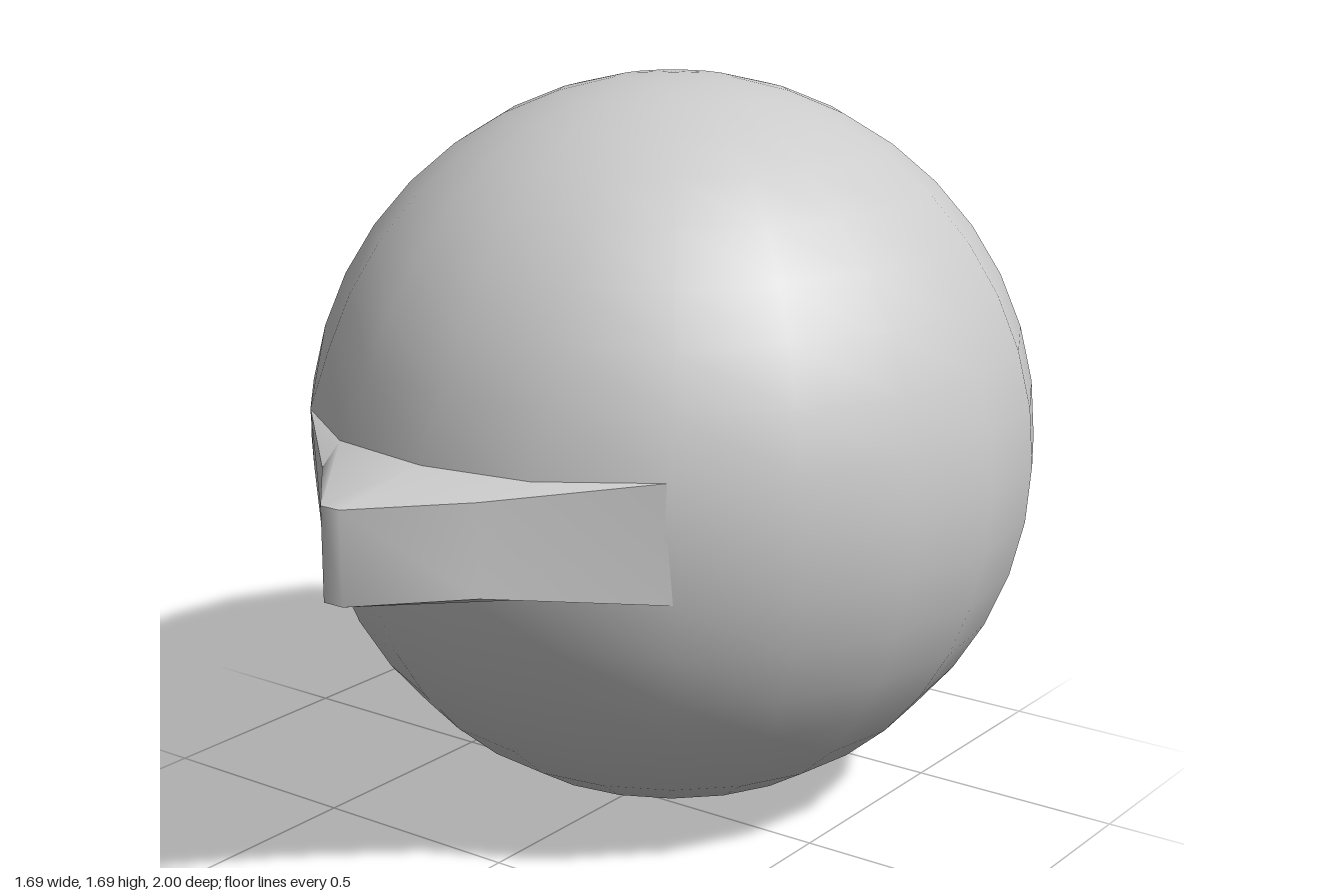
import * as THREE from 'three';
import { toCreasedNormals } from 'three/addons/utils/BufferGeometryUtils.js';

const R = 0.845;
const CENTRE = new THREE.Vector3(0, R, -0.155);
const TOP = R * (1 + Math.sin(Math.PI / 20));
const BOTTOM = R * (1 - Math.sin(Math.PI / 20));

// Ball whose ring of vertices just above the beak is pulled forward a little
function ballGeometry() {
  const geo = new THREE.SphereGeometry(R, 20, 20);
  geo.translate(CENTRE.x, CENTRE.y, CENTRE.z);
  const p = geo.attributes.position;
  for (let i = 0; i < p.count; i++) {
    if (Math.abs(p.getY(i) - TOP) > 0.01 || p.getZ(i) < 0.5) continue;
    p.setZ(i, p.getZ(i) + (Math.abs(p.getX(i)) < 0.4 ? 0.055 : 0.02));
  }
  return geo;
}

// Beak as columns from one side to the other, each a section from the
// upper root, out to the edge, down, and back to the lower root
function beakGeometry() {
  const columns = [
    // root x, upper root z, lower root z, edge x, edge z, upper y, lower y
    [-0.49, 0.54, 0.52, -0.49, 0.54, TOP, BOTTOM],
    [-0.26, 0.69, 0.635, -0.21, 0.80, 0.95, 0.748],
    [0, 0.73, 0.675, -0.025, 1, 0.95, 0.748],
    [0, 0.73, 0.675, 0.025, 1, 0.95, 0.748],
    [0.26, 0.69, 0.635, 0.21, 0.80, 0.95, 0.748],
    [0.49, 0.54, 0.52, 0.49, 0.54, TOP, BOTTOM],
  ];
  const positions = [];
  const index = [];
  columns.forEach(([rx, upZ, lowZ, ex, ez, upY, lowY], c) => {
    const lowEdgeZ = c % 5 === 0 ? lowZ : ez;
    positions.push(rx, TOP, upZ, ex, upY, ez, ex, lowY, lowEdgeZ, rx, BOTTOM, lowZ);
    if (c === columns.length - 1) return;
    for (let k = 0; k < 3; k++) {
      const a = c * 4 + k;
      index.push(a, a + 1, a + 5, a, a + 5, a + 4);
    }
  });
  const geo = new THREE.BufferGeometry();
  geo.setAttribute('position', new THREE.Float32BufferAttribute(positions, 3));
  geo.setIndex(index);
  return toCreasedNormals(geo, Math.PI / 3);
}

export function createModel() {
  const model = new THREE.Group();
  model.name = 'beakedBall';
  const material = new THREE.MeshStandardMaterial({ color: 0xcccccc });
  const add = (name, geometry) => {
    const mesh = new THREE.Mesh(geometry, material);
    mesh.name = name;
    model.add(mesh);
  };
  add('ball', ballGeometry());
  add('beak', beakGeometry());
  return model;
}
